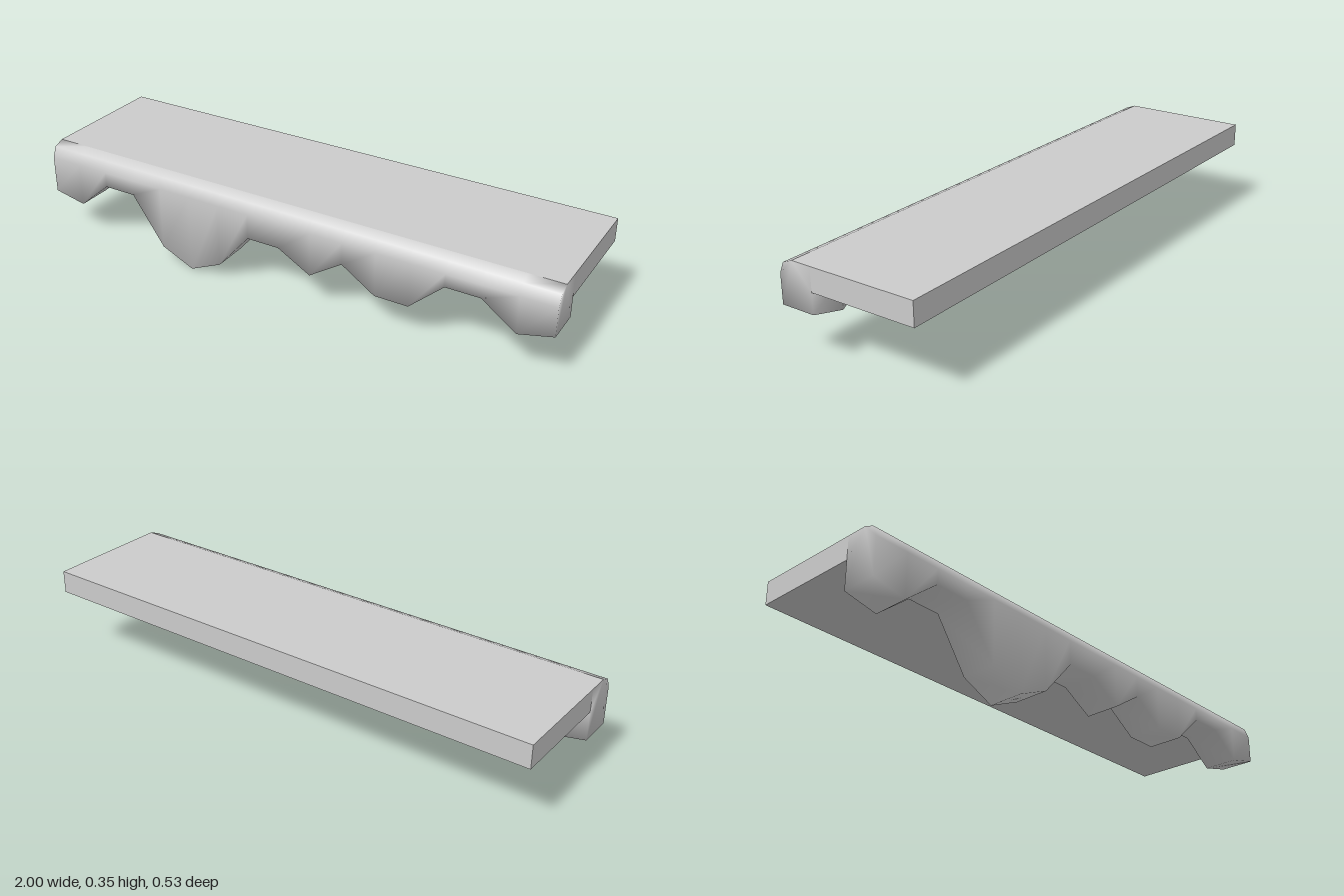
import * as THREE from 'three';

const BACK = -0.266, LIP = 0.136, BEVEL = 0.212, FRONT = 0.266; // z positions
const TOP = 0.348, UNDER = 0.262; // slab heights

// Height of the dripping lower edge, evenly spaced from x = -1 to x = 1
const EDGE = [0.155, 0.13, 0.236, 0.236, 0.056, 0, 0.056, 0.2, 0.2, 0.13, 0.212,
  0.13, 0.13, 0.245, 0.245, 0.155, 0.187];

// Cross-section (z, y) from the top bevel, down the front, and up the back
const section = (low) => [
  [BEVEL, TOP], [0.25, 0.333], [FRONT, 0.293], [FRONT, low],
  [LIP, low], [LIP, UNDER], [LIP, TOP],
];

function dripGeometry() {
  const positions = [], index = [];
  const n = 7, last = EDGE.length - 1;
  EDGE.forEach((low, i) => {
    const x = -1 + (2 * i) / last;
    for (const [z, y] of section(low)) positions.push(x, y, z);
  });
  // skin, left open where it meets the slab
  for (let i = 0; i < last; i++) {
    for (let j = 0; j < n - 2; j++) {
      const a = i * n + j, c = a + n;
      index.push(a, a + 1, c, a + 1, c + 1, c);
    }
  }
  // end caps, sharing vertices so the ends shade softly
  const e = last * n;
  for (let j = 1; j < n - 1; j++) {
    index.push(e, e + j, e + j + 1, 0, j + 1, j);
  }
  const geometry = new THREE.BufferGeometry();
  geometry.setAttribute('position', new THREE.Float32BufferAttribute(positions, 3));
  geometry.setIndex(index);
  geometry.computeVertexNormals();
  return geometry;
}

export function createModel() {
  const model = new THREE.Group();
  model.name = 'drippingLedge';
  const material = new THREE.MeshStandardMaterial({ color: 0xcccccc });
  const add = (name, geometry) => {
    const mesh = new THREE.Mesh(geometry, material);
    mesh.name = name;
    model.add(mesh);
    return mesh;
  };

  // Flat ledge slab
  add('slab', new THREE.BoxGeometry(2, TOP - UNDER, LIP - BACK))
    .position.set(0, (TOP + UNDER) / 2, (LIP + BACK) / 2);

  // Flat strip continuing the slab's top to the bevel
  add('lipTop', new THREE.PlaneGeometry(2, BEVEL - LIP).rotateX(-Math.PI / 2))
    .position.set(0, TOP, (BEVEL + LIP) / 2);

  // Rounded lip hanging down in drips
  add('drips', dripGeometry());

  return model;
}
